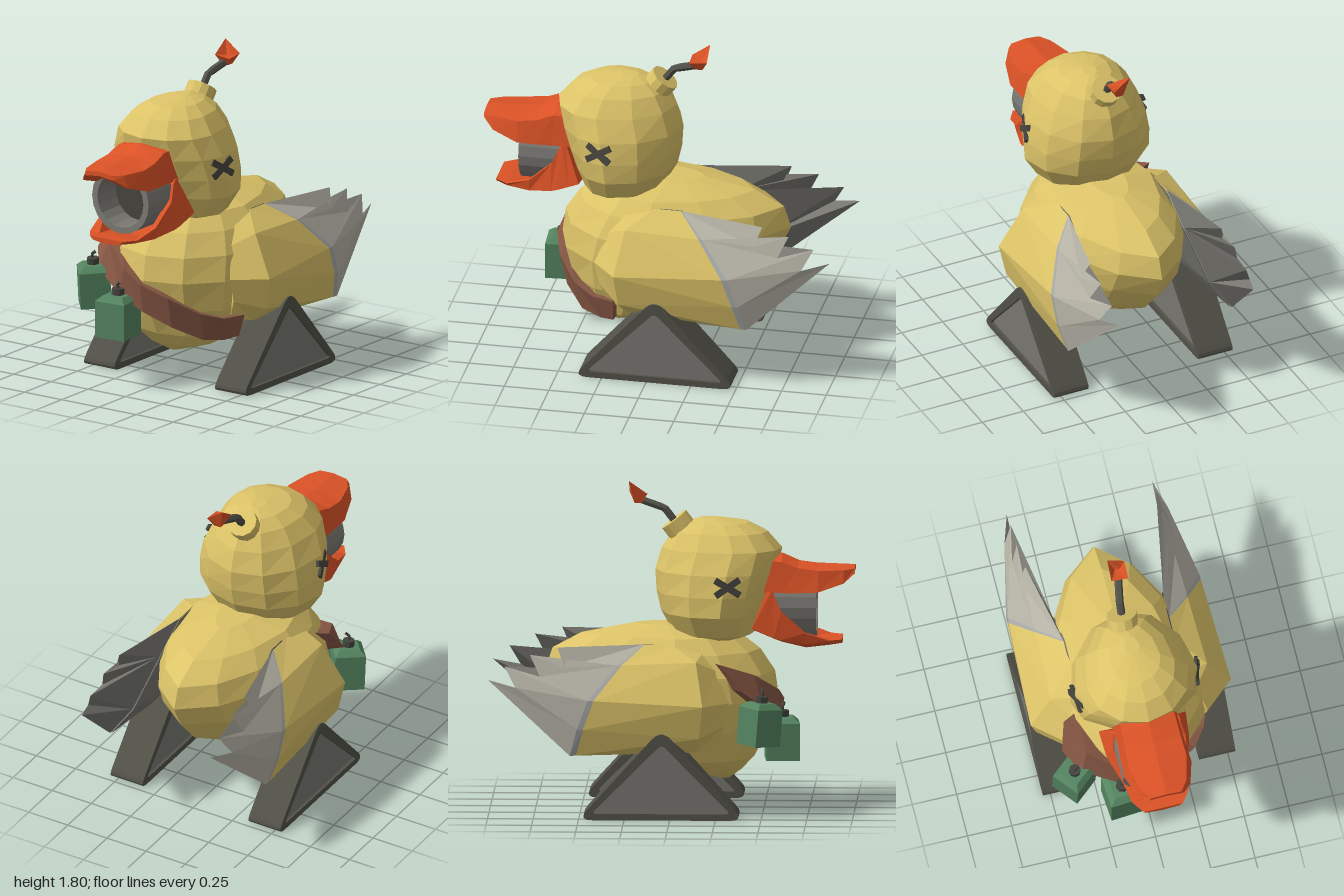
import * as THREE from 'three';

const mat = (name, color, side = THREE.FrontSide) => {
  const m = new THREE.MeshStandardMaterial({ color, side, flatShading: true });
  m.name = name;
  return m;
};

// Closed loft through rings of [x, y, z] points; the winding is fixed by signed volume
function loft(rings) {
  const n = rings[0].length, tris = [];
  for (let i = 0; i < rings.length - 1; i++)
    for (let j = 0; j < n; j++) {
      const k = (j + 1) % n, a = rings[i], b = rings[i + 1];
      tris.push([a[j], b[j], b[k]], [a[j], b[k], a[k]]);
    }
  const mid = r => [0, 1, 2].map(c => r.reduce((s, p) => s + p[c], 0) / n);
  const first = rings[0], last = rings[rings.length - 1], m0 = mid(first), m1 = mid(last);
  for (let j = 0; j < n; j++) {
    const k = (j + 1) % n;
    tris.push([m0, first[j], first[k]], [m1, last[k], last[j]]);
  }
  const v = p => new THREE.Vector3(...p);
  const volume = tris.reduce((s, t) => s + v(t[0]).dot(v(t[1]).cross(v(t[2]))), 0);
  return triangles(volume < 0 ? tris.map(t => [t[0], t[2], t[1]]) : tris);
}

function triangles(tris) {
  const g = new THREE.BufferGeometry();
  g.setAttribute('position', new THREE.Float32BufferAttribute(tris.flat(2), 3));
  g.computeVertexNormals();
  return g;
}

// Egg-shaped horizontal rings from [y, zFront, zBack, halfWidth]; taper < 1 sharpens the back
const centre = r => r[2] + (r[1] - r[2]) * 0.6;
const eggRing = (r, taper) => Array.from({ length: 12 }, (_, i) => {
  const a = i * Math.PI / 6, c = centre(r);
  let s = Math.cos(a);
  if (s < -0.1 && i !== 6) s *= taper;
  return [Math.sin(a) * r[3] * (s < -0.1 ? taper : 1), r[0], c + s * (s > 0 ? r[1] - c : c - r[2])];
});

const BODY = [[0.165, 0.31, 0.25, 0.03], [0.21, 0.375, 0.0, 0.2], [0.29, 0.45, -0.22, 0.335],
  [0.45, 0.53, -0.48, 0.41], [0.62, 0.58, -0.63, 0.435], [0.76, 0.56, -0.7, 0.42],
  [0.88, 0.48, -0.66, 0.36], [0.965, 0.37, -0.5, 0.28], [1.02, 0.1, -0.22, 0.1]];
const HEAD = [[0.945, 0.37, 0.08, 0.2], [0.975, 0.45, 0, 0.29], [1.09, 0.49, -0.065, 0.362],
  [1.2, 0.53, -0.09, 0.362], [1.32, 0.57, -0.097, 0.34], [1.44, 0.6, -0.06, 0.285],
  [1.53, 0.52, 0, 0.215], [1.58, 0.42, 0.07, 0.14], [1.605, 0.25, 0.15, 0.04]];

// Point on the front of the body, pushed out by d
function onBody(x, y, d) {
  let i = 0;
  while (i < BODY.length - 2 && BODY[i + 1][0] < y) i++;
  const t = (y - BODY[i][0]) / (BODY[i + 1][0] - BODY[i][0]);
  const r = BODY[i].map((q, k) => q + (BODY[i + 1][k] - q) * t), c = centre(r);
  const s = THREE.MathUtils.clamp(x / r[3], -1, 1), cs = Math.sqrt(1 - s * s);
  return [x + s * d, y, c + cs * (r[1] - c + d)];
}

function roundedTriangle(Type, pts, r) {
  const s = new Type(), P = pts.map(p => new THREE.Vector2(...p));
  P.forEach((p, i) => {
    const a = P[(i + 2) % 3].clone().sub(p).setLength(r).add(p);
    const b = P[(i + 1) % 3].clone().sub(p).setLength(r).add(p);
    if (i) s.lineTo(a.x, a.y); else s.moveTo(a.x, a.y);
    s.quadraticCurveTo(p.x, p.y, b.x, b.y);
  });
  s.closePath();
  return s;
}

export function createModel() {
  const yellow = mat('yellow', 0xdcc368), orange = mat('orange', 0xdb5226);
  const dark = mat('darkRubber', 0x525148), panelGrey = mat('panelGrey', 0x777670, THREE.DoubleSide);
  const feather = mat('featherGrey', 0xb4b1a4, THREE.DoubleSide), trim = mat('trimGrey', 0xa6a8a8);
  const brown = mat('strapBrown', 0x875744), green = mat('bottleGreen', 0x548460);
  const steel = mat('barrelGrey', 0x7c7a74, THREE.DoubleSide), black = mat('charcoal', 0x45443e);

  const root = new THREE.Group();
  const add = (name, geo, m, parent = root) => {
    const mesh = new THREE.Mesh(geo, m);
    mesh.name = name;
    parent.add(mesh);
    return mesh;
  };
  const rod = (pts, r) => {
    const path = new THREE.CurvePath(), P = pts.map(p => new THREE.Vector3(...p));
    for (let i = 1; i < P.length; i++) path.add(new THREE.LineCurve3(P[i - 1], P[i]));
    return new THREE.TubeGeometry(path, 8, r, 6);
  };

  add('body', loft(BODY.map(r => eggRing(r, 0.92))), yellow);
  add('head', loft(HEAD.map(r => eggRing(r, 1))), yellow);

  // Upper beak: [z, halfWidth, top, shoulder, sideBottom, underMiddle]
  add('upperBeak', loft([[0.47, 0.18, 1.41, 1.38, 1.21, 1.32], [0.6, 0.18, 1.41, 1.38, 1.21, 1.32],
    [0.69, 0.185, 1.365, 1.345, 1.21, 1.3], [0.8, 0.19, 1.355, 1.33, 1.215, 1.3],
    [0.94, 0.15, 1.35, 1.33, 1.26, 1.3], [1, 0.1, 1.345, 1.335, 1.31, 1.32]]
    .map(([z, w, t, s, b, u]) => [[0, t, z], [w * 0.85, s, z], [w, b, z], [w * 0.85, b, z],
      [0, u, z], [-w * 0.85, b, z], [-w, b, z], [-w * 0.85, s, z]])), orange);

  // Lower beak trough with cheeks: [zRim, zBase, rimWidth, baseWidth, rim, bottom]
  add('lowerBeak', loft([[0.52, 0.44, 0.185, 0.245, 1.22, 0.98], [0.545, 0.5, 0.19, 0.24, 1.22, 0.955],
    [0.56, 0.56, 0.19, 0.235, 1.2, 0.93], [0.6, 0.6, 0.205, 0.225, 1.11, 0.915],
    [0.73, 0.73, 0.19, 0.18, 0.99, 0.885], [0.86, 0.86, 0.16, 0.14, 0.945, 0.9],
    [0.93, 0.93, 0.11, 0.09, 0.945, 0.912]]
    .map(([z, zb, w, v, t, b]) => {
      const low = Math.min(b + 0.04, t - 0.02), floor = Math.min(b + 0.045, t);
      return [[w, t, z], [v, low, zb], [0, b, zb], [-v, low, zb], [-w, t, z], [-w * 0.85, t, z],
        [-w * 0.6, floor, zb], [w * 0.6, floor, zb], [w * 0.85, t, z]];
    })), orange);

  // Cannon barrel in the mouth
  const barrel = add('barrel', new THREE.LatheGeometry(
    [[0.19, -0.08], [0.19, 0.16], [0.155, 0.16], [0.155, -0.02]].map(p => new THREE.Vector2(...p)), 20), steel);
  barrel.rotation.x = Math.PI / 2;
  barrel.position.set(-0.005, 1.13, 0.63);
  add('barrelBore', new THREE.CircleGeometry(0.156, 20), black).position.set(-0.005, 1.13, 0.615);

  // Crossed eyes
  for (const s of [-1, 1]) {
    const eye = new THREE.Group();
    eye.name = s > 0 ? 'leftEye' : 'rightEye';
    eye.position.set(s * 0.34, 1.26, 0.31);
    eye.rotation.set(0, -s * 0.25, s * 0.16);
    for (const a of [-0.56, 0.56])
      add('eyeBar', new THREE.BoxGeometry(0.016, 0.036, 0.16), black, eye).rotation.x = a;
    root.add(eye);
  }

  // Fuse cap, fuse and spark
  const cap = add('fuseCap', new THREE.CylinderGeometry(0.083, 0.083, 0.11, 12), yellow);
  cap.position.set(-0.01, 1.55, 0.04);
  cap.rotation.x = -0.65;
  add('fuse', rod([[-0.01, 1.57, 0.02], [-0.008, 1.655, -0.045], [0.02, 1.705, -0.2]], 0.022), dark);
  const sparkEnd = (y, r) => [[-1, -1], [1, -1], [1, 1], [-1, 1]].map(([x, z]) => [0.018 + x * r, y, -0.19 + z * r]);
  add('spark', loft([sparkEnd(1.68, 0.02),
    [[-0.03, 1.805, -0.24], [0.065, 1.735, -0.24], [0.065, 1.725, -0.14], [-0.03, 1.735, -0.14]],
    sparkEnd(1.725, 0.015)]), orange);

  // Wings: yellow cover outside, grey lining inside, feather fan behind
  const front = [[0.28, 0.9, 0.18], [0.35, 0.8, 0.25], [0.4, 0.63, 0.32], [0.4, 0.5, 0.29], [0.36, 0.4, 0.26], [0.3, 0.5, 0.2], [0.26, 0.75, 0.17]];
  const wide = [[0.3, 0.94, 0], [0.44, 0.86, 0.14], [0.565, 0.63, 0.18], [0.53, 0.45, 0.16], [0.42, 0.36, 0.14], [0.36, 0.5, 0.1], [0.3, 0.75, 0.06]];
  const rear = [[0.3, 0.94, -0.15], [0.43, 0.84, -0.29], [0.54, 0.66, -0.45], [0.535, 0.5, -0.51], [0.5, 0.35, -0.55], [0.4, 0.5, -0.48], [0.31, 0.8, -0.34]];
  const tips = [[0.4, 0.935, -0.62], [0.41, 0.895, -0.77], [0.41, 0.83, -0.91], [0.41, 0.755, -1]];
  const dips = [[0.44, 0.83, -0.58], [0.45, 0.78, -0.715], [0.46, 0.72, -0.85]];
  const seam = wide.map((p, i) => p.map((q, c) => q + (rear[i][c] - q) * 0.95));
  const lining = [wide, rear].map(r => [4, 5, 6, 0].map(i => [r[i][0] - 0.008, r[i][1], r[i][2]]));
  const fanInside = [[rear[4], tips[3], rear[5]], [rear[5], tips[3], dips[2]],
    [rear[5], dips[2], tips[2]], [rear[5], tips[2], rear[6]], [rear[6], tips[2], dips[1]],
    [rear[6], dips[1], tips[1]], [rear[6], tips[1], dips[0]], [rear[6], dips[0], tips[0]],
    [rear[6], tips[0], rear[0]]];
  const blades = [[rear[3], tips[3], rear[4]]];
  for (let k = 0; k < 3; k++)
    blades.push([rear[k], tips[k], dips[k]], [rear[k], dips[k], rear[k + 1]], [rear[k + 1], dips[k], tips[k + 1]]);
  for (const s of [-1, 1]) {
    const wing = new THREE.Group();
    wing.name = s > 0 ? 'leftWing' : 'rightWing';
    const flip = r => r.map(([x, y, z]) => [s * x, y, z]);
    const sheet = tris => triangles(tris.map(t => flip(s > 0 ? t : [t[0], t[2], t[1]])));
    add('wingCover', loft([front, wide, seam].map(flip)), yellow, wing);
    add('wingTrim', loft([seam, rear].map(flip)), trim, wing);
    add('wingLining', loft(lining.map(flip)), panelGrey, wing);
    add('featherBlades', sheet(blades), feather, wing);
    add('featherInside', sheet(fanInside), panelGrey, wing);
    root.add(wing);
  }

  // Triangular tracks with recessed panels
  const outer = [[0.41, 0], [-0.045, 0.505], [-0.505, 0]], inner = [[0.335, 0.035], [-0.045, 0.42], [-0.43, 0.035]];
  const frame = roundedTriangle(THREE.Shape, outer, 0.08);
  frame.holes.push(roundedTriangle(THREE.Path, inner, 0.03));
  for (const s of [-1, 1]) {
    const track = new THREE.Group();
    track.name = s > 0 ? 'leftTrack' : 'rightTrack';
    const slab = (name, shape, depth, m) => add(name,
      new THREE.ExtrudeGeometry(shape, { depth, bevelEnabled: false, curveSegments: 5 })
        .translate(0, 0, -depth / 2).rotateY(-Math.PI / 2), m, track);
    slab('trackBelt', frame, 0.205, dark);
    slab('trackPanel', roundedTriangle(THREE.Shape, inner, 0.03), 0.17, panelGrey);
    track.position.x = s * 0.44;
    root.add(track);
  }

  // Diagonal strap: [xTop, yTop, xBottom, yBottom, lift]
  add('strap', loft([[-0.34, 0.84, -0.36, 0.7, 0.07], [-0.28, 0.775, -0.3, 0.61, 0.055], [-0.12, 0.67, -0.14, 0.515, 0.035],
    [0, 0.605, 0, 0.445, 0.035], [0.14, 0.54, 0.13, 0.365, 0.035], [0.27, 0.45, 0.24, 0.29, 0.035],
    [0.34, 0.41, 0.29, 0.275, 0.035], [0.385, 0.41, 0.325, 0.285, 0.035]]
    .map(([x, y, u, v, d]) => [onBody(x, y, d), onBody(u, v, d + 0.025), onBody(u, v, -0.03), onBody(x, y, -0.03)])), brown);

  // Hanging bottles
  for (const [x, y, z, yaw, tilt, width] of [[-0.395, 0.4, 0.48, 0.7, 0.08, 0.92], [-0.152, 0.29, 0.605, 0.08, 0, 1]]) {
    const bottle = new THREE.Group();
    bottle.name = 'bottle';
    add('bottleBody', new THREE.BoxGeometry(0.185, 0.205, 0.185), green, bottle).position.y = 0.1025;
    add('bottleShoulder', new THREE.CylinderGeometry(0.085, 0.131, 0.03, 4).rotateY(Math.PI / 4), green, bottle).position.y = 0.22;
    add('bottleNeck', new THREE.CylinderGeometry(0.036, 0.036, 0.04, 8), black, bottle).position.y = 0.25;
    add('bottleWick', rod([[0, 0.26, 0], [-0.005, 0.29, 0], [0.02, 0.31, 0.01]], 0.009), black, bottle);
    bottle.position.set(x, y, z);
    bottle.rotation.set(tilt, yaw, 0);
    bottle.scale.set(width, 1, width);
    root.add(bottle);
  }
  return root;
}
